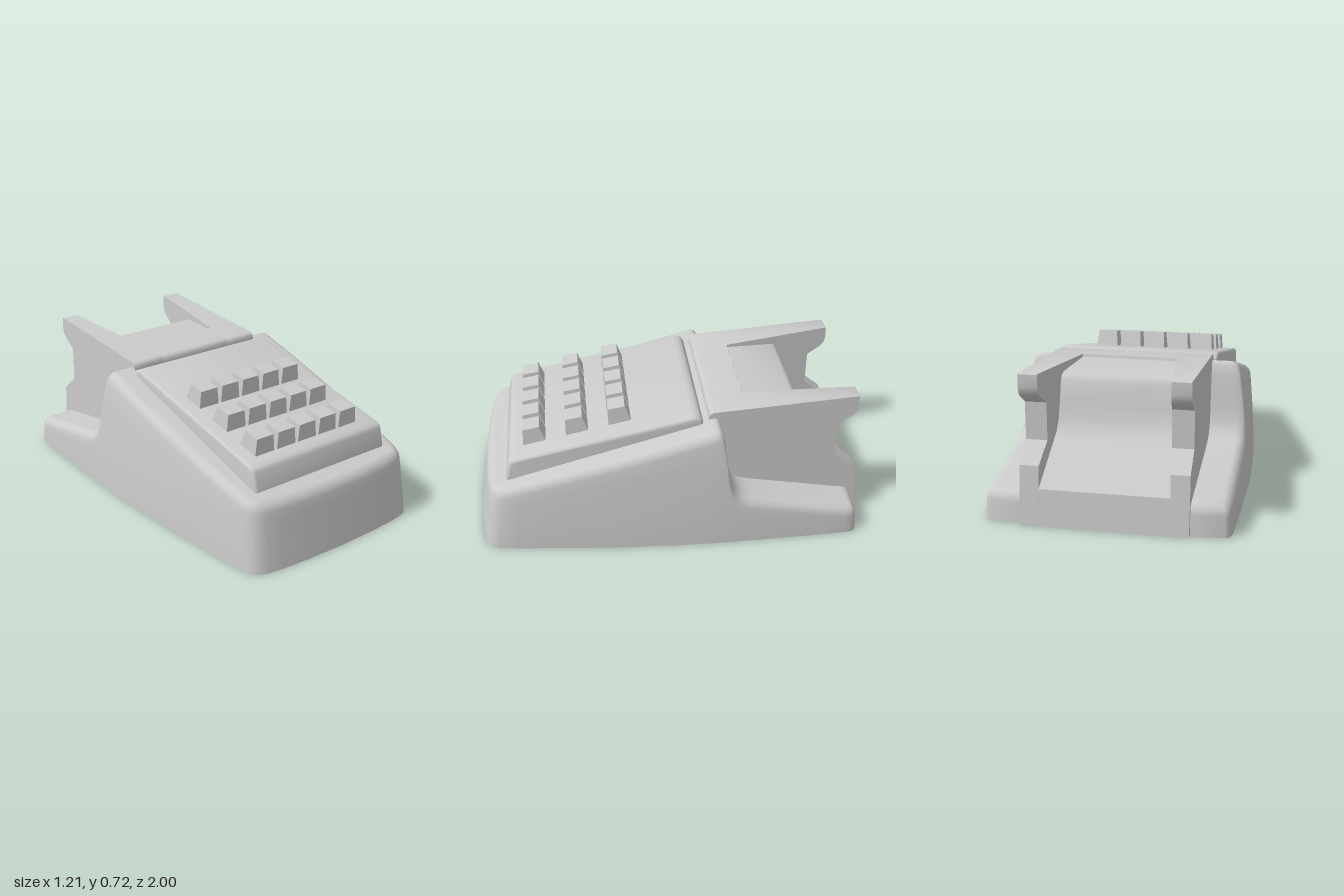
import * as THREE from 'three';
import { toCreasedNormals } from 'three/addons/utils/BufferGeometryUtils.js';

const material = new THREE.MeshStandardMaterial({ color: 0xcccccc });

function addMesh(parent, name, geometry) {
  const mesh = new THREE.Mesh(geometry, material);
  mesh.name = name;
  parent.add(mesh);
  return mesh;
}

// Linear interpolation through [position, value] pairs of falling position
function sample(pairs, p) {
  if (p >= pairs[0][0]) return pairs[0][1];
  for (let i = 1; i < pairs.length; i++) {
    const [a, va] = pairs[i - 1], [b, vb] = pairs[i];
    if (p >= b) return va + (vb - va) * (a - p) / (a - b);
  }
  return pairs[pairs.length - 1][1];
}

// Extrude a side profile of [z, y] points along x
function extrudeSide(profile, options) {
  const shape = new THREE.Shape(profile.map(([z, y]) => new THREE.Vector2(z, y)));
  return new THREE.ExtrudeGeometry(shape, options).rotateY(-Math.PI / 2);
}

// Casing: plan outline raised to a stepped roof line, with leaning walls and a rounded shoulder
function bodyGeometry() {
  const half = [
    [0, 1], [0.2, 0.995], [0.36, 0.985], [0.44, 0.973], [0.48, 0.96], [0.507, 0.935], [0.522, 0.9],
    [0.537, 0.8], [0.556, 0.6], [0.575, 0.4], [0.59, 0.2], [0.6, 0], [0.604, -0.15], [0.605, -0.2],
    [0.605, -0.22], [0.605, -0.235], [0.605, -0.245], [0.605, -0.255], [0.605, -0.265], [0.605, -0.275],
    [0.605, -0.285], [0.605, -0.3], [0.605, -0.32], [0.604, -0.35], [0.603, -0.39], [0.6, -0.6],
    [0.595, -0.8], [0.591, -0.9], [0.587, -0.93], [0.578, -0.95], [0.56, -0.96], [0.42, -0.97], [0, -0.972],
  ];
  const roof = [
    [0.9, 0.34], [-0.2, 0.64], [-0.22, 0.645], [-0.235, 0.64], [-0.245, 0.625], [-0.255, 0.58],
    [-0.265, 0.5], [-0.275, 0.42], [-0.285, 0.36], [-0.3, 0.32], [-0.32, 0.29], [-0.35, 0.268],
    [-0.39, 0.254], [-0.9, 0.155], [-0.93, 0.145],
  ];
  const M = half.length, N = 2 * M - 2, r = 0.05;
  const ring = [...half, ...half.slice(1, -1).reverse().map(([x, z]) => [-x, z])];
  const lean = (x, y, z) => [
    x * (1 - 0.1 * Math.pow(y / 0.6, 1.4)), y,
    z - 0.16 * y * THREE.MathUtils.smoothstep(z, 0.6, 1) + 0.08 * y * THREE.MathUtils.smoothstep(-z, 0.8, 0.97),
  ];
  // [inset, height below roof or wall fraction]
  const levels = [];
  for (let i = 0; i <= 6; i++) levels.push({ wall: i / 6, a: 0 });
  for (let i = 1; i <= 5; i++) levels.push({ wall: 1, a: i / 5 * Math.PI / 2 });

  const positions = [], index = [];
  for (const { wall, a } of levels) {
    ring.forEach(([x, z], j) => {
      const p = ring[(j + N - 1) % N], q = ring[(j + 1) % N];
      const dx = q[0] - p[0], dz = q[1] - p[1], len = Math.hypot(dx, dz);
      const nx = -dz / len, nz = dx / len;
      const top = sample(roof, lean(x - nx * r, 0.3, z - nz * r)[2]);
      const inset = r * (1 - Math.cos(a));
      positions.push(...lean(x - nx * inset, wall * (top - r) + r * Math.sin(a), z - nz * inset));
    });
  }
  for (let k = 0; k < levels.length - 1; k++) {
    for (let j = 0; j < N; j++) {
      const a = k * N + j, b = k * N + (j + 1) % N;
      index.push(a, b, b + N, a, b + N, a + N);
    }
  }
  // Roof and underside: strips from each right-hand point to its mirror
  const strip = (base, up) => {
    const tri = (a, b, c) => {
      if (a !== b && b !== c && a !== c) index.push(base + a, base + (up ? b : c), base + (up ? c : b));
    };
    for (let i = 0; i < M - 1; i++) {
      const l0 = (N - i) % N, l1 = N - i - 1;
      tri(i, i + 1, l1);
      tri(i, l1, l0);
    }
  };
  strip((levels.length - 1) * N, true);
  strip(0, false);
  const g = new THREE.BufferGeometry();
  g.setAttribute('position', new THREE.Float32BufferAttribute(positions, 3));
  g.setIndex(index);
  return toCreasedNormals(g, 0.75);
}

// Rear cradle: two cheeks with a scooped bed between them
function addCradle(parent) {
  const inner = z => 0.24 + (-0.38 - z) * 0.117;
  const remap = (profile, left, right) => {
    const g = extrudeSide(profile, { depth: 1, bevelEnabled: false });
    const p = g.attributes.position;
    for (let i = 0; i < p.count; i++) p.setX(i, p.getX(i) < -0.5 ? left(p.getZ(i)) : right(p.getZ(i)));
    g.computeVertexNormals();
    return toCreasedNormals(g, 0.6);
  };
  const front = [[-0.2, 0], [-0.19, 0.64], [-0.194, 0.66], [-0.203, 0.671], [-0.22, 0.676]];
  const cheek = [
    ...front, [-0.945, 0.724], [-0.952, 0.72], [-0.953, 0.66], [-0.945, 0.63], [-0.925, 0.61],
    [-0.855, 0.565], [-0.855, 0.38], [-0.965, 0.29], [-0.995, 0],
  ].reverse();
  const bed = [
    ...front, [-0.38, 0.6866], [-0.385, 0.672], [-0.64, 0.66], [-0.66, 0.65], [-0.675, 0.625],
    [-0.695, 0.52], [-0.715, 0.44], [-0.74, 0.395], [-0.775, 0.36], [-0.976, 0.18], [-0.995, 0],
  ].reverse();
  const cradle = new THREE.Group();
  cradle.name = 'rearCradle';
  addMesh(cradle, 'leftCheek', remap(cheek, inner, () => 0.4));
  addMesh(cradle, 'rightCheek', remap(cheek, () => -0.4, z => -inner(z)));
  addMesh(cradle, 'cradleBed', remap(bed, z => -inner(z), inner));
  parent.add(cradle);
}

// Sloping key panel with softened ends
function panelGeometry() {
  const profile = [
    [0.845, 0.33], [0.838, 0.37], [0.82, 0.445], [0.812, 0.462], [0.795, 0.472], [0.77, 0.479],
    [-0.1, 0.662], [-0.125, 0.664], [-0.145, 0.656], [-0.16, 0.635], [-0.16, 0.58],
  ].reverse();
  const b = 0.015, width = 0.84;
  const g = extrudeSide(profile, {
    depth: width - 2 * b, bevelThickness: b, bevelSize: b, bevelOffset: -b, bevelSegments: 3,
  });
  return toCreasedNormals(g.translate(width / 2 - b, 0, 0), 0.6);
}

// Key cap: a box narrowed at the top, with its front upright and its back leaning
function keyGeometry() {
  const g = new THREE.BoxGeometry(1, 1, 1).toNonIndexed();
  const p = g.attributes.position;
  for (let i = 0; i < p.count; i++) {
    const top = p.getY(i) > 0, front = p.getZ(i) > 0;
    const x = Math.sign(p.getX(i)) * (top ? 0.05 : 0.06);
    const y = top ? (front ? 0.085 : 0.1) : (front ? -0.02 : 0.005);
    const z = front ? 0 : (top ? -0.085 : -0.12);
    p.setXYZ(i, x, y, z);
  }
  g.computeVertexNormals();
  return g;
}

export function createModel() {
  const model = new THREE.Group();
  model.name = 'deskPhoneBase';
  addMesh(model, 'casing', bodyGeometry());
  addCradle(model);
  addMesh(model, 'keyPanel', panelGeometry());

  // Three rows of five keys climbing the panel
  const keys = new THREE.Group();
  keys.name = 'keys';
  const key = keyGeometry();
  for (let row = 0; row < 3; row++) {
    for (let col = 0; col < 5; col++) {
      addMesh(keys, 'key', key).position.set(-0.02 + (col - 2) * 0.133, 0.485 + row * 0.047, 0.743 - row * 0.2175);
    }
  }
  model.add(keys);
  return model;
}
